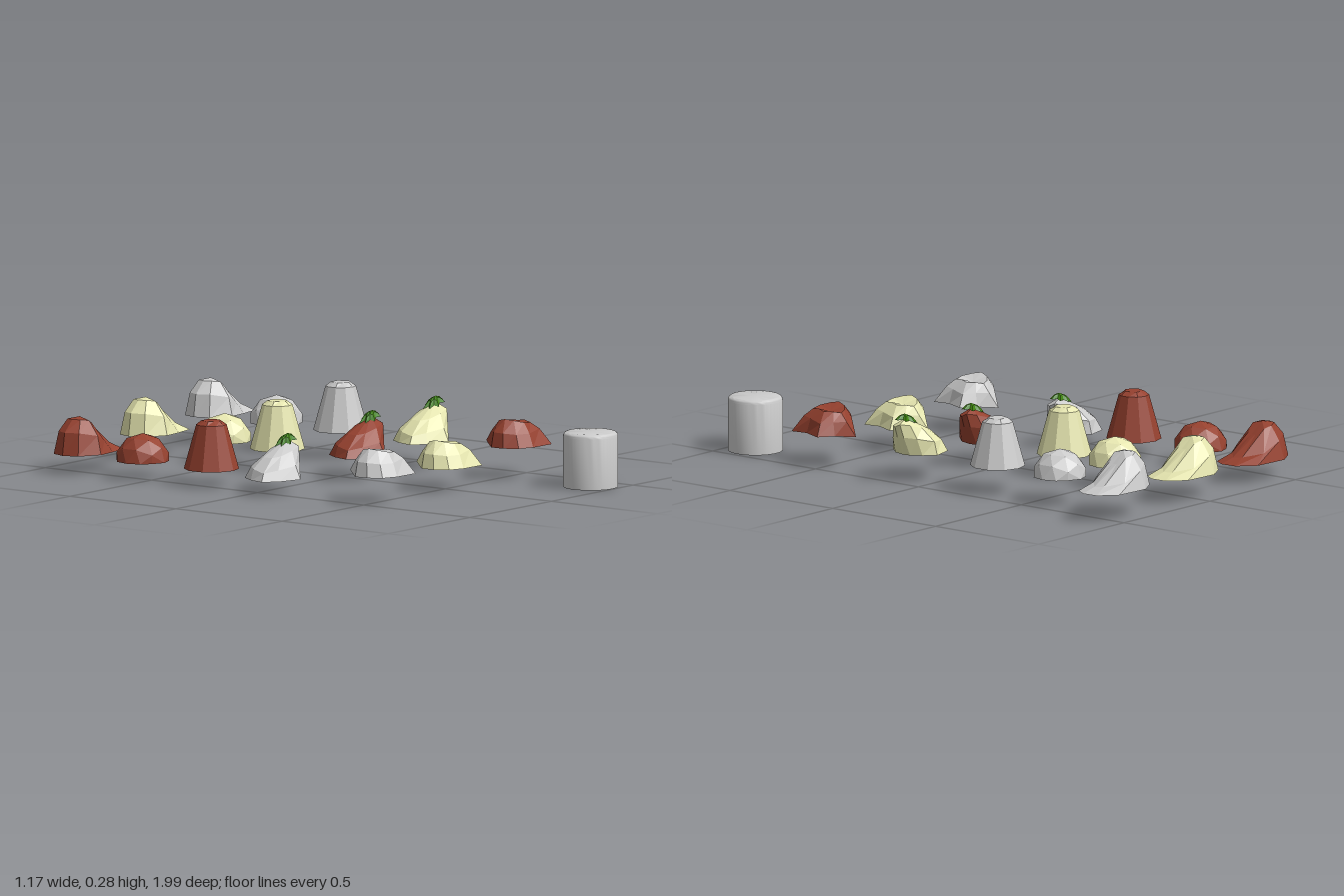
import * as THREE from 'three';
import { toCreasedNormals } from 'three/addons/utils/BufferGeometryUtils.js';

const flat = (color) => new THREE.MeshStandardMaterial({ color, flatShading: true });
const grey = flat(0xcccccc), sand = flat(0xe6e6b0), red = flat(0x96412f);
const moss = flat(0x3f850f);
moss.side = THREE.DoubleSide;

// Skins a stack of rings of [x, z, y] points, closed by a flat base and a top point
function loft(rings, top) {
  const pos = [];
  const tri = (...pts) => pts.forEach(([x, z, y = 0]) => pos.push(x, y, z));
  const n = rings[0].length;
  const centre = [0, 0, rings[0][0][2]];
  for (const [x, z] of rings[0]) { centre[0] += x / n; centre[1] += z / n; }
  for (let i = 0; i < n; i++) {
    const j = (i + 1) % n;
    tri(centre, rings[0][i], rings[0][j]);
    for (let k = 0; k < rings.length - 1; k++) {
      const a = rings[k], b = rings[k + 1];
      tri(a[i], b[i], a[j]);
      tri(b[i], b[j], a[j]);
    }
    const last = rings[rings.length - 1];
    tri(last[i], top, last[j]);
  }
  const g = new THREE.BufferGeometry();
  g.setAttribute('position', new THREE.Float32BufferAttribute(pos, 3));
  g.computeVertexNormals();
  return g;
}

// Ten-point ring; every second point can be pulled in
const ring = (r, y, pull = 1) => Array.from({ length: 10 }, (_, i) => {
  const a = (i / 10) * Math.PI * 2 + 0.3, q = i % 2 ? r * pull : r;
  return [Math.cos(a) * q, Math.sin(a) * q, y];
});

// Tapered stump: ten sides closing to a flat pentagon
const stump = loft(
  [ring(0.103, 0), ring(0.057, 0.167), ring(0.038, 0.182, Math.cos(Math.PI / 5))],
  [0, 0, 0.182]);

// Dome: upper half of a faceted ball
const dome = new THREE.IcosahedronGeometry(0.103, 1);
{
  const p = dome.attributes.position;
  for (let i = 0; i < p.count; i++) p.setY(i, Math.max(0, p.getY(i)));
}

// Ramp: a hump with a long tail towards +x
const ramp = loft([
  [[0.15, 0.03], [0.12, 0.077], [0.03, 0.095], [-0.053, 0.103], [-0.137, 0.06],
    [-0.155, 0], [-0.137, -0.055], [-0.06, -0.1], [0.085, -0.092], [0.148, -0.035]],
  [[0.1, 0.015, 0.02], [0.07, 0.045, 0.03], [0, 0.08, 0.045], [-0.05, 0.085, 0.07], [-0.12, 0.05, 0.085],
    [-0.142, 0, 0.085], [-0.12, -0.045, 0.085], [-0.055, -0.08, 0.07], [0.03, -0.075, 0.035], [0.09, -0.02, 0.022]],
  [[0, 0.01, 0.092], [-0.01, 0.03, 0.1], [-0.03, 0.04, 0.115], [-0.05, 0.045, 0.125], [-0.085, 0.03, 0.13],
    [-0.095, 0, 0.13], [-0.085, -0.03, 0.13], [-0.05, -0.045, 0.125], [-0.02, -0.035, 0.115], [0, -0.01, 0.095]],
], [-0.05, 0, 0.137]);

// Peak: low on one side, rising to an overhanging tip at +x
const peak = loft([
  [[0.09, 0], [0.075, 0.05], [0.02, 0.108], [-0.075, 0.08], [-0.124, 0.035],
    [-0.105, -0.03], [-0.07, -0.085], [0.02, -0.108], [0.06, -0.07], [0.085, -0.03]],
  [[0.11, 0.01, 0.065], [0.09, 0.05, 0.06], [0.02, 0.085, 0.05], [-0.06, 0.065, 0.04], [-0.105, 0.03, 0.03],
    [-0.09, -0.03, 0.04], [-0.05, -0.07, 0.045], [0.02, -0.095, 0.05], [0.08, -0.06, 0.065], [0.11, -0.02, 0.07]],
  [[0.125, 0.01, 0.11], [0.105, 0.035, 0.11], [0.045, 0.05, 0.1], [-0.01, 0.04, 0.085], [-0.04, 0.02, 0.08],
    [-0.04, -0.02, 0.08], [-0.01, -0.04, 0.085], [0.04, -0.05, 0.1], [0.09, -0.035, 0.115], [0.12, -0.01, 0.12]],
], [0.075, 0, 0.138]);

// Moss: a small drooping star draped over the tip
const star = (s, lift) => Array.from({ length: 14 }, (_, i) => {
  const a = (i / 14) * Math.PI * 2, q = s * (i % 2 ? 0.6 : 1);
  const x = 0.077 + Math.cos(a) * 0.055 * q;
  return [x, -0.005 + Math.sin(a) * 0.034 * q, lift + (x - 0.077) * 0.25 + (i % 2 ? 0.006 : 0)];
});
const mossPatch = loft([star(1, 0.124), star(0.6, 0.144)], [0.088, -0.005, 0.157]);

// Crag: spiked outline with a dented crown
const crag = loft([
  [[0.115, -0.02], [0.08, 0.06], [0.09, 0.125], [-0.02, 0.122], [-0.08, 0.1],
    [-0.11, 0.05], [-0.112, -0.005], [-0.05, -0.065], [0.02, -0.13], [0.06, -0.06]],
  [[0.085, -0.01, 0.045], [0.07, 0.05, 0.055], [0.06, 0.09, 0.06], [-0.015, 0.1, 0.05], [-0.07, 0.08, 0.05],
    [-0.1, 0.04, 0.055], [-0.098, -0.005, 0.055], [-0.05, -0.05, 0.055], [0.015, -0.08, 0.05], [0.05, -0.045, 0.05]],
  [[0.05, 0, 0.085], [0.04, 0.035, 0.09], [0.03, 0.07, 0.085], [-0.015, 0.075, 0.09], [-0.045, 0.05, 0.098],
    [-0.06, 0.02, 0.103], [-0.05, -0.015, 0.095], [-0.02, -0.04, 0.085], [0.01, -0.05, 0.08], [0.03, -0.03, 0.085]],
], [0, 0.01, 0.077]);

// Each kind of rock with its three placements: material, x, y, z
const layout = [
  ['rampRock', ramp, [[red, -0.435, 0.07, -0.85], [sand, 0, 0.088, -0.873], [grey, 0.43, 0.106, -0.897]]],
  ['domeRock', dome, [[red, -0.475, 0.066, -0.56], [sand, 0.007, 0.084, -0.545], [grey, 0.38, 0.104, -0.588]]],
  ['stumpRock', stump, [[red, -0.46, 0.063, -0.248], [sand, -0.015, 0.081, -0.28], [grey, 0.38, 0.103, -0.285]]],
  ['peakRock', peak, [[grey, -0.453, 0.055, 0.043], [red, 0.015, 0.088, 0.08], [sand, 0.37, 0.102, 0.108]]],
  ['cragRock', crag, [[grey, -0.41, 0.107, 0.482], [sand, 0, 0.088, 0.48], [red, 0.39, 0.123, 0.508]]],
];

export function createModel() {
  const model = new THREE.Group();
  for (const [name, geometry, spots] of layout) {
    for (const [material, x, y, z] of spots) {
      const rock = new THREE.Group();
      rock.name = name;
      rock.position.set(x, y, z);
      const body = new THREE.Mesh(geometry, material);
      body.name = name + 'Body';
      rock.add(body);
      if (geometry === peak) {
        const patch = new THREE.Mesh(mossPatch, moss);
        patch.name = 'mossPatch';
        rock.add(patch);
      }
      model.add(rock);
    }
  }

  // Smooth cylinder with a rounded top edge
  const r = 0.103, h = 0.208, b = 0.016;
  const profile = [new THREE.Vector2(0, 0), new THREE.Vector2(r, 0)];
  for (let i = 0; i <= 4; i++) {
    const a = (i / 4) * Math.PI / 2;
    profile.push(new THREE.Vector2(r - b + Math.cos(a) * b, h - b + Math.sin(a) * b));
  }
  profile.push(new THREE.Vector2(0, h));
  const cylinder = new THREE.Mesh(
    toCreasedNormals(new THREE.LatheGeometry(profile, 40), 0.6),
    new THREE.MeshStandardMaterial({ color: 0xcccccc }));
  cylinder.name = 'cylinder';
  cylinder.position.set(0.38, 0, 0.893);
  model.add(cylinder);
  return model;
}
